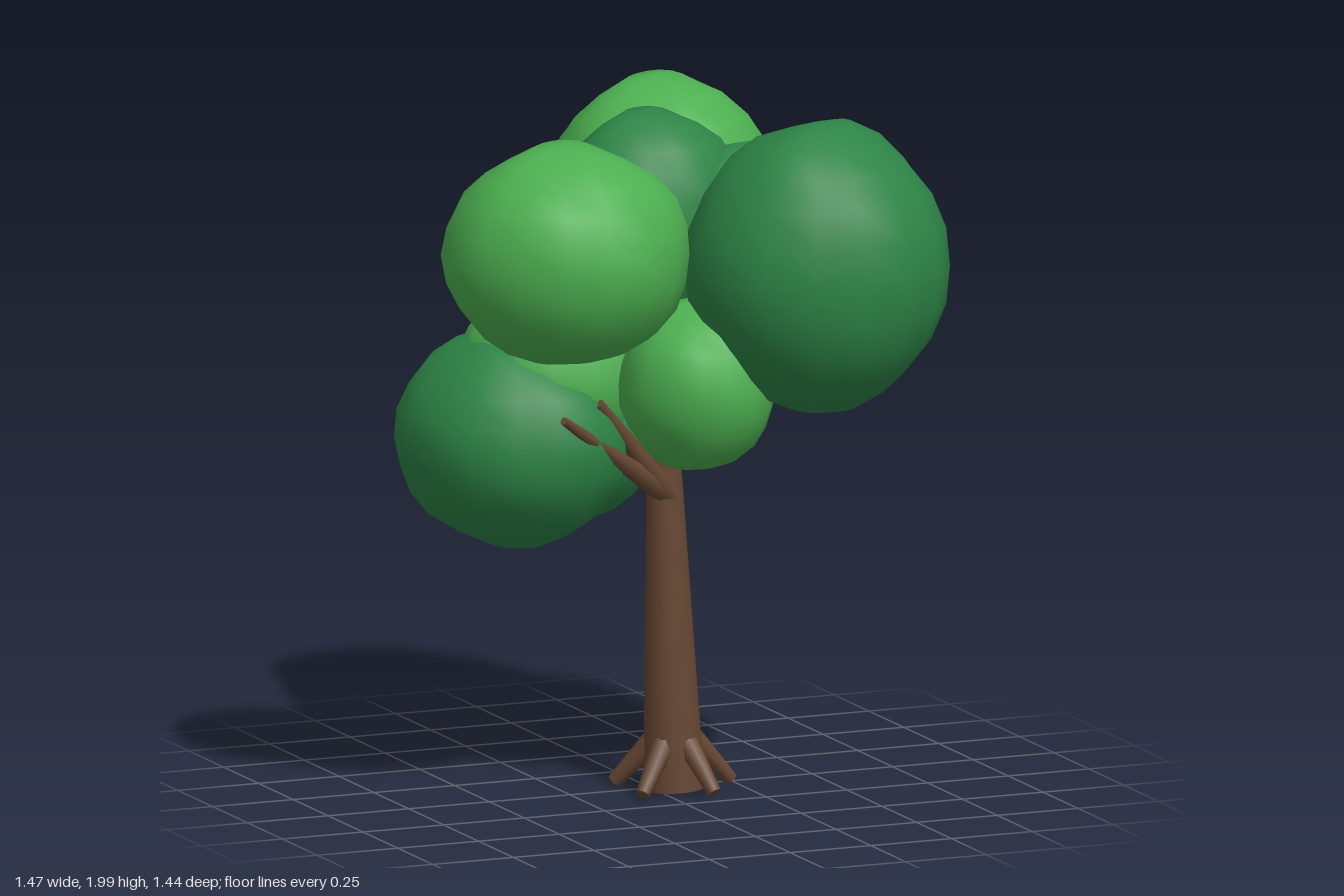
import * as THREE from 'three';
import { mergeVertices } from 'three/addons/utils/BufferGeometryUtils.js';

const flat = (name, color) => {
  const m = new THREE.MeshStandardMaterial({ color });
  m.name = name;
  return m;
};

export function createModel() {
  const tree = new THREE.Group();
  tree.name = 'tree';
  const bark = flat('bark brown', 0x664733);
  const dark = flat('dark leaf green', 0x2d8446);
  const light = flat('light leaf green', 0x4caf50);

  // Tapered round limb between two points
  const limb = (name, from, to, r0, r1, sides = 8) => {
    const a = new THREE.Vector3(...from), b = new THREE.Vector3(...to);
    const dir = b.clone().sub(a);
    const mesh = new THREE.Mesh(new THREE.CylinderGeometry(r1, r0, dir.length(), sides), bark);
    mesh.position.copy(a).add(b).multiplyScalar(0.5);
    mesh.quaternion.setFromUnitVectors(new THREE.Vector3(0, 1, 0), dir.normalize());
    mesh.name = name;
    tree.add(mesh);
  };

  // Lumpy ellipsoid: a low sphere whose radius is varied by direction
  const foliage = (name, material, center, radii, seed) => {
    let geo = new THREE.SphereGeometry(1, 16, 12);
    geo.deleteAttribute('uv');
    geo.deleteAttribute('normal');
    geo = mergeVertices(geo, 1e-4);
    const p = geo.attributes.position, v = new THREE.Vector3();
    for (let i = 0; i < p.count; i++) {
      v.fromBufferAttribute(p, i);
      const lump = Math.sin(5 * v.x + seed) * Math.sin(6 * v.y + 2 * seed) + Math.sin(7 * v.z + 3 * seed + 4 * v.x);
      v.multiplyScalar(1 + 0.017 * lump);
      p.setXYZ(i, v.x * radii[0], v.y * radii[1], v.z * radii[2]);
    }
    geo.computeVertexNormals();
    const mesh = new THREE.Mesh(geo, material);
    mesh.position.set(...center);
    mesh.name = name;
    tree.add(mesh);
  };

  // Trunk, leaning slightly
  limb('trunk', [0.055, 0.015, 0.04], [0.022, 1.0, 0.04], 0.087, 0.048, 16);

  // Five flared roots
  for (let i = 0; i < 5; i++) {
    const a = i * Math.PI * 2 / 5, c = Math.cos(a), s = Math.sin(a);
    limb('root', [0.055 + 0.06 * c, 0.15, 0.04 + 0.06 * s],
      [0.055 + 0.175 * c, 0.025, 0.04 + 0.175 * s], 0.034, 0.021);
  }

  // Branches reaching into the crown
  limb('branchLeftFront', [0.02, 0.93, 0.04], [0.34, 1.24, 0.13], 0.035, 0.015);
  limb('branchLeftBack', [0.02, 0.92, 0.04], [0.31, 1.26, -0.32], 0.035, 0.015);
  limb('branchRightLow', [0.03, 0.87, 0.05], [-0.39, 1.16, 0.28], 0.035, 0.012);
  limb('branchRightHigh', [0.03, 0.87, 0.06], [-0.24, 1.18, 0.18], 0.035, 0.015);

  // Crown
  foliage('foliageRightFront', light, [-0.385, 1.645, 0.285], [0.355, 0.315, 0.345], 1);
  foliage('foliageLeftFront', dark, [0.36, 1.565, 0.365], [0.38, 0.422, 0.352], 2.3);
  foliage('foliageBack', light, [0.19, 1.585, -0.375], [0.35, 0.413, 0.345], 3.1);
  foliage('foliageLeft', dark, [0.33, 1.52, -0.07], [0.35, 0.325, 0.3], 4.7);
  foliage('foliageTop', dark, [0.06, 1.64, -0.14], [0.28, 0.31, 0.25], 5.2);
  foliage('foliageRightLow', dark, [-0.385, 1.045, -0.095], [0.335, 0.315, 0.345], 6.4);
  foliage('foliageRightMiddle', light, [-0.26, 1.22, -0.1], [0.28, 0.27, 0.285], 7.9);
  foliage('foliageBackLow', dark, [-0.18, 1.06, -0.16], [0.27, 0.28, 0.29], 8.5);
  foliage('foliageFrontLow', light, [0.035, 1.225, 0.25], [0.225, 0.245, 0.24], 9.6);

  return tree;
}
